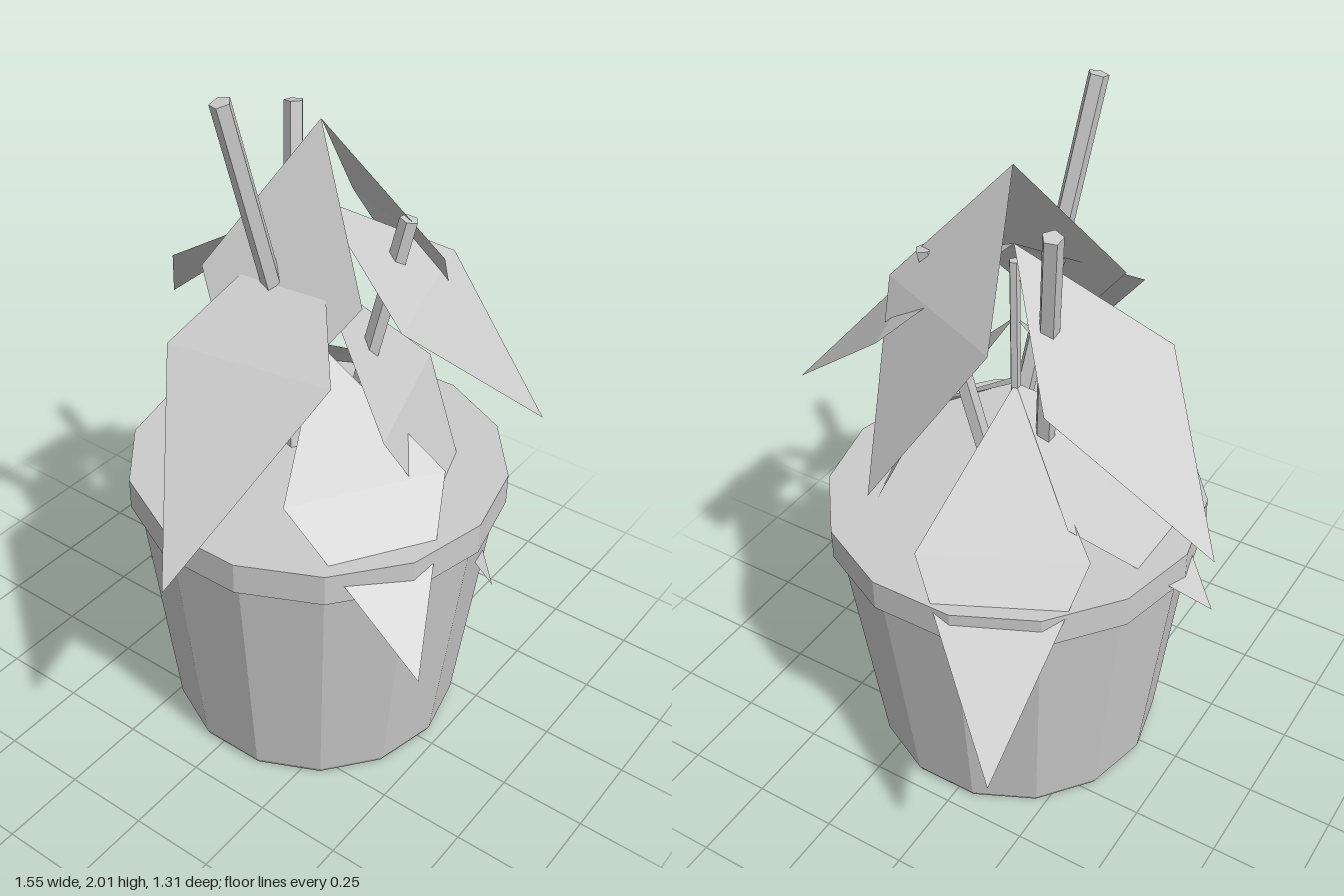
import * as THREE from 'three';

const CX = 0.035, CZ = 0.04; // axis of the pot and plant

export function createModel() {
  const plant = new THREE.Group();
  plant.name = 'pottedPlant';
  const mat = new THREE.MeshStandardMaterial({ color: 0xcccccc, flatShading: true });
  const leafMat = new THREE.MeshStandardMaterial({ color: 0xcccccc, flatShading: true, side: THREE.DoubleSide });

  const add = (name, geometry, material = mat) => {
    const mesh = new THREE.Mesh(geometry, material);
    mesh.name = name;
    plant.add(mesh);
    return mesh;
  };

  // Fourteen-sided pot: chamfered foot, tapered wall, overhanging rim, closed by soil
  const profile = [[0, 0], [0.415, 0], [0.425, 0.018], [0.515, 0.76], [0.54, 0.76], [0.54, 0.853], [0, 0.853]]
    .map(([r, y]) => new THREE.Vector2(r, y));
  add('pot', new THREE.LatheGeometry(profile, 14)).position.set(CX, 0, CZ);

  // Slim five-sided rod between two points
  const rod = (name, from, to, radius) => {
    const a = new THREE.Vector3(...from), b = new THREE.Vector3(...to);
    const dir = b.clone().sub(a);
    const mesh = add(name, new THREE.CylinderGeometry(radius, radius, dir.length(), 5));
    mesh.position.copy(a).add(b).multiplyScalar(0.5);
    mesh.quaternion.setFromUnitVectors(new THREE.Vector3(0, 1, 0), dir.normalize());
  };
  rod('tallStick', [-0.02, 0.82, 0.12], [-0.275, 2.0, -0.02], 0.028);
  rod('backStick', [0.03, 0.82, -0.04], [0.2, 1.81, -0.17], 0.028);
  rod('frontStick', [0.04, 0.82, 0.1], [0.13, 1.62, 0.25], 0.026);
  rod('stem', [CX, 0.82, CZ], [CX, 1.6, CZ], 0.015);

  // Kite-shaped leaf folded across its widest line
  const leaf = (top, midY, tipX, tipY, tipZ, midRatio) => {
    const dx = tipX - CX, dz = tipZ - CZ, len = Math.hypot(dx, dz);
    const mx = CX + dx * midRatio, mz = CZ + dz * midRatio;
    const px = (-dz / len) * 0.23, pz = (dx / len) * 0.23;
    const g = new THREE.BufferGeometry();
    g.setAttribute('position', new THREE.Float32BufferAttribute([
      CX, top, CZ, mx + px, midY, mz + pz, mx - px, midY, mz - pz, tipX, tipY, tipZ], 3));
    g.setIndex([0, 1, 2, 1, 3, 2]);
    g.computeVertexNormals();
    add('leaf', g, leafMat);
  };

  // Four tiers, alternating drooping and spreading leaves: top, fold height, tip, fold position
  [
    [1.87, 1.525, 0.465, 1.05, 0.23, 0.5],
    [1.87, 1.5, -0.365, 1.17, 0.1, 0.52],
    [1.65, 1.445, 0.21, 1.13, 0.64, 0.48],
    [1.65, 1.37, -0.78, 0.97, 0.18, 0.475],
    [1.65, 1.41, 0.23, 1.05, -0.66, 0.485],
    [1.43, 1.1, 0.2, 0.51, 0.545, 0.48],
    [1.43, 1.12, -0.34, 0.55, -0.28, 0.48],
    [1.22, 0.94, 0.77, 0.54, -0.325, 0.48],
    [1.22, 0.97, -0.35, 0.62, 0.65, 0.48],
    [1.22, 1.0, 0.035, 0.69, -0.585, 0.48],
  ].forEach((spec) => leaf(...spec));

  return plant;
}
